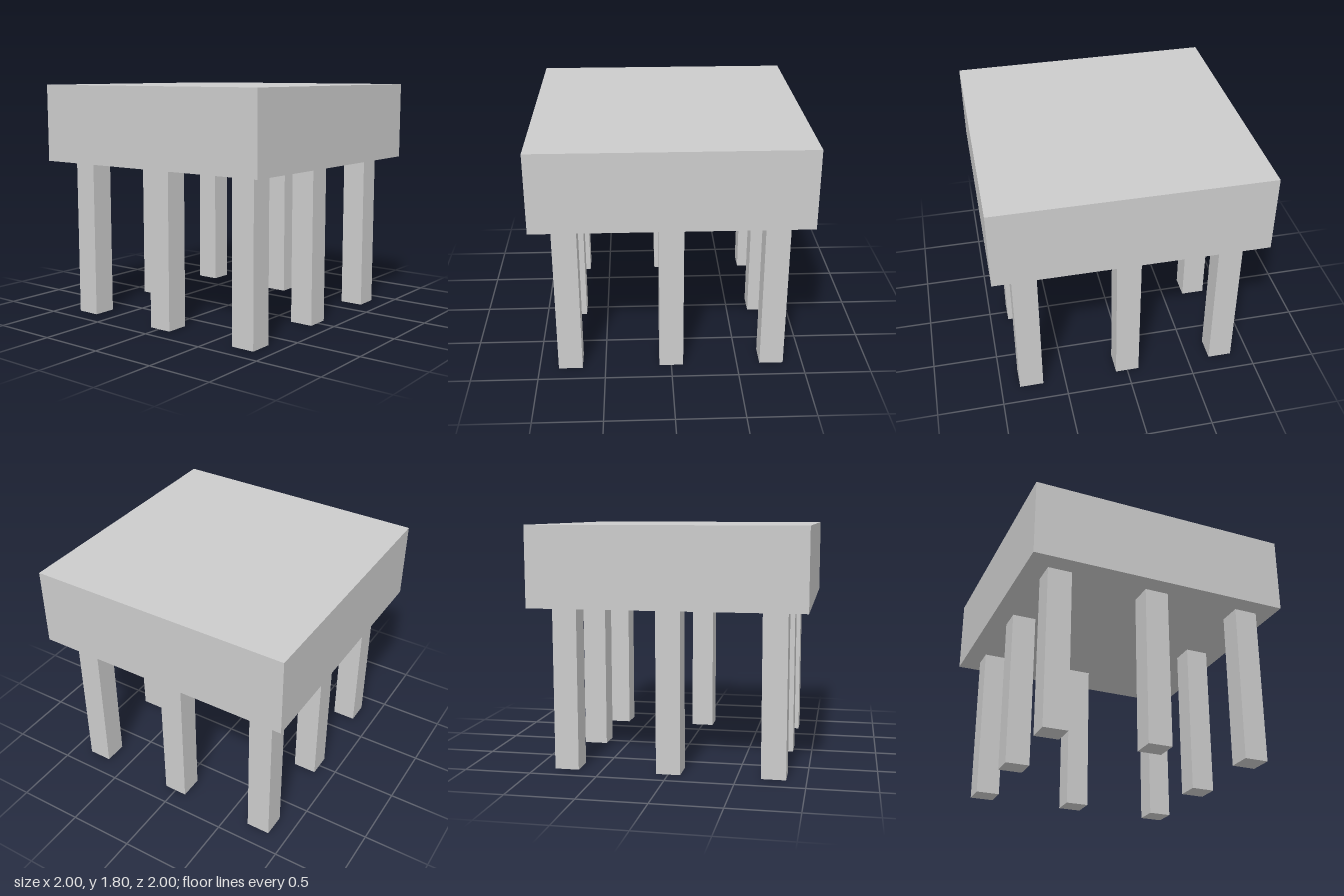
import * as THREE from 'three';

export function createModel() {
  const group = new THREE.Group();
  const material = new THREE.MeshStandardMaterial({ color: 0xcccccc, flatShading: true });

  function addBox(name, w, h, d, x, y, z) {
    const mesh = new THREE.Mesh(new THREE.BoxGeometry(w, h, d), material);
    mesh.name = name;
    mesh.position.set(x, y, z);
    group.add(mesh);
  }

  // Thick square top
  const legHeight = 1.21;
  const slabHeight = 0.59;
  addBox('topSlab', 2, slabHeight, 2, 0, legHeight + slabHeight / 2, 0);

  // Eight legs around the edge, none in the centre; the front row sits slightly to +x
  const spacing = 0.764;
  const rows = [['back', -1, 0], ['middle', 0, 0], ['front', 1, 0.013]];
  const columns = [['Right', -1], ['Centre', 0], ['Left', 1]];
  for (const [rowName, row, shift] of rows) {
    for (const [columnName, column] of columns) {
      if (row === 0 && column === 0) continue;
      addBox(`${rowName}${columnName}Leg`, 0.182, legHeight, 0.18,
        column * spacing + shift, legHeight / 2, row * spacing);
    }
  }
  return group;
}
